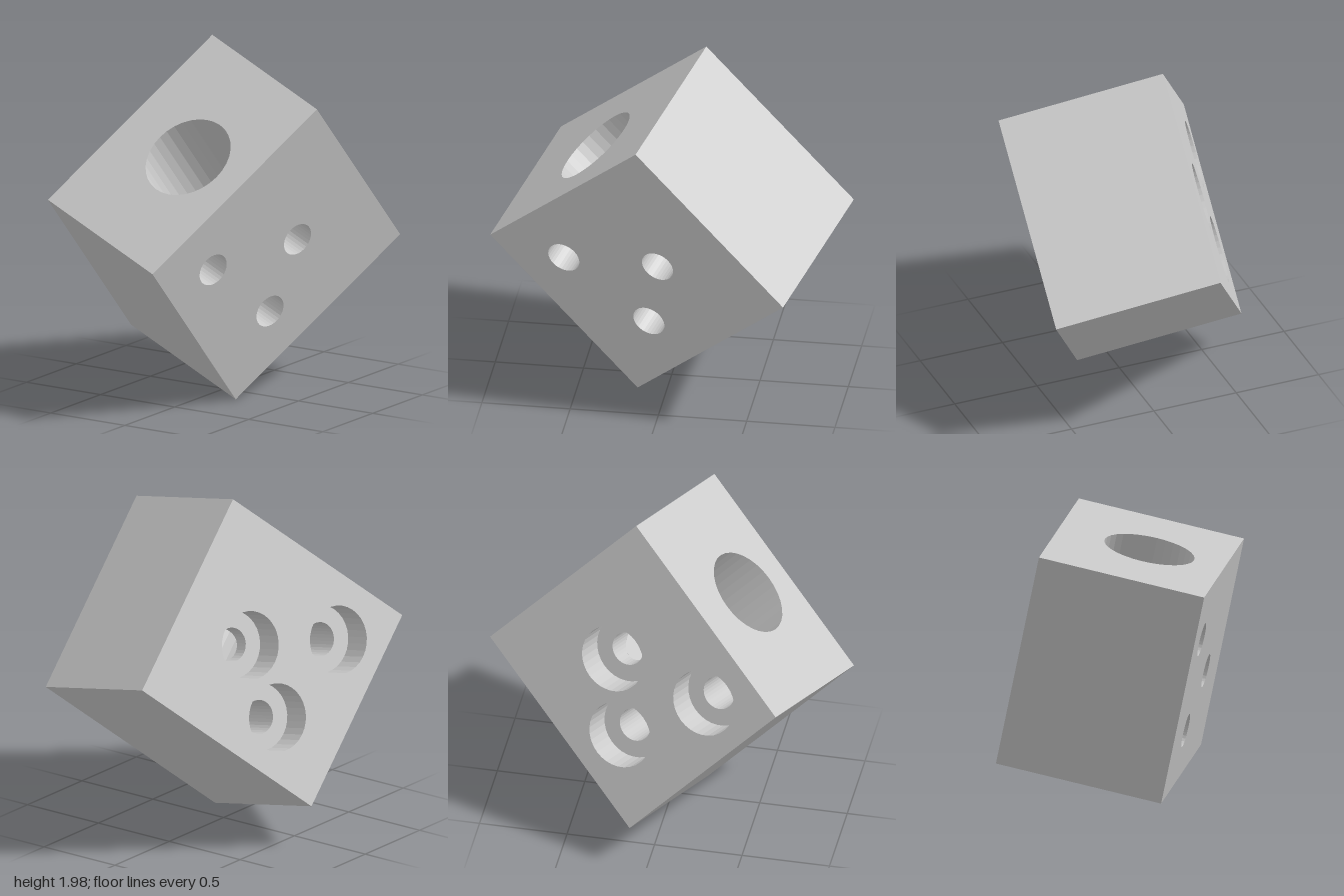
import * as THREE from 'three';

// Block size: A along local x, B along local y, C along local -z
const A = 1.327, B = 1.228, C = 0.958;
const SEG = 32;
const SMALL = 0.096, LARGE = 0.193, SINK = 0.185;          // stepped bolt holes
const HOLES = [[0.308, 0.896], [0.814, 0.577], [0.45, 0.317]];
const BORE = { x: 0.67, z: -0.434, r: 0.258, depth: 0.77 }; // blind bore in the top
const CROSS = HOLES[1];                                     // hole that meets the bore

const material = new THREE.MeshStandardMaterial({
  color: 0xcccccc, flatShading: true, side: THREE.DoubleSide,
});

function part(name, geometry) {
  const mesh = new THREE.Mesh(geometry, material);
  mesh.name = name;
  return mesh;
}

// Rectangle from the origin with round holes [x, y, r]
function panel(w, h, holes = []) {
  const shape = new THREE.Shape([[0, 0], [w, 0], [w, h], [0, h]].map(p => new THREE.Vector2(...p)));
  for (const [x, y, r] of holes) {
    const pts = [];
    for (let i = 0; i < SEG; i++) {
      const t = -i / SEG * Math.PI * 2;
      pts.push(new THREE.Vector2(x + r * Math.cos(t), y + r * Math.sin(t)));
    }
    shape.holes.push(new THREE.Path(pts));
  }
  return new THREE.ShapeGeometry(shape);
}

// Round wall along z; each end depth may depend on the local x
function holeWall(x, y, r, near, far) {
  const g = new THREE.CylinderGeometry(r, r, 1, SEG, 1, true).rotateX(Math.PI / 2);
  const p = g.attributes.position;
  for (let i = 0; i < p.count; i++) {
    const px = p.getX(i) + x;
    p.setXYZ(i, px, p.getY(i) + y, p.getZ(i) > 0 ? near(px) : far(px));
  }
  return g;
}

// Bore wall in two bands, parted where the cross hole passes through
function boreWall() {
  const columns = 256, step = Math.PI * 2 / SEG, pos = [], index = [];
  for (let i = 0; i <= columns; i++) {
    const t = i / columns * Math.PI * 2;
    const r = BORE.r * Math.cos(step / 2) / Math.cos((t % step) - step / 2);
    const x = BORE.x + r * Math.cos(t), z = BORE.z + r * Math.sin(t);
    const gap = Math.sqrt(Math.max(0, SMALL ** 2 - (x - CROSS[0]) ** 2));
    const low = B - BORE.depth;
    for (const y of [B, CROSS[1] + gap, Math.max(low, CROSS[1] - gap), low]) pos.push(x, y, z);
    if (i === columns) continue;
    for (const k of [0, 2]) {
      const a = i * 4 + k, b = a + 4;
      index.push(a, a + 1, b, b, a + 1, b + 1);
    }
  }
  const g = new THREE.BufferGeometry();
  g.setAttribute('position', new THREE.Float32BufferAttribute(pos, 3));
  g.setIndex(index);
  g.computeVertexNormals();
  return g;
}

export function createModel() {
  const block = new THREE.Group();
  block.name = 'block';

  // Outer faces
  const small = HOLES.map(([x, y]) => [x, y, SMALL]);
  const large = HOLES.map(([x, y]) => [x, y, LARGE]);
  block.add(
    part('drilledFace', panel(A, B, small)),
    part('counterboredFace', panel(A, B, large).translate(0, 0, -C)),
    part('boreFace', panel(A, C, [[BORE.x, -BORE.z, BORE.r]]).rotateX(-Math.PI / 2).translate(0, B, 0)),
    part('baseFace', panel(A, C).rotateX(-Math.PI / 2)),
    part('lowerEndFace', panel(C, B).rotateY(Math.PI / 2)),
    part('upperEndFace', panel(C, B).rotateY(Math.PI / 2).translate(A, 0, 0)),
  );

  // Large blind bore
  block.add(
    part('boreWall', boreWall()),
    part('boreFloor', new THREE.CircleGeometry(BORE.r, SEG).rotateX(-Math.PI / 2)
      .translate(BORE.x, B - BORE.depth, BORE.z)),
  );

  // Stepped bolt holes
  const ledge = SINK - C;
  const chord = x => Math.sqrt(Math.max(0, BORE.r ** 2 - (x - BORE.x) ** 2));
  for (const hole of HOLES) {
    const [x, y] = hole;
    if (hole === CROSS) {
      block.add(
        part('boltHoleNear', holeWall(x, y, SMALL, () => 0, px => BORE.z + chord(px))),
        part('boltHoleFar', holeWall(x, y, SMALL, px => BORE.z - chord(px), () => ledge)),
      );
    } else {
      block.add(part('boltHole', holeWall(x, y, SMALL, () => 0, () => ledge)));
    }
    block.add(
      part('counterboreWall', holeWall(x, y, LARGE, () => ledge, () => -C)),
      part('counterboreLedge', new THREE.RingGeometry(SMALL, LARGE, SEG).rotateY(Math.PI).translate(x, y, ledge)),
    );
  }

  // Tilt the block so that it stands on one corner
  const ey = new THREE.Vector3(0, 0.9, 0.835).normalize();
  const ez = new THREE.Vector3(0.505, 0.835, -0.9).cross(ey).normalize();
  const ex = new THREE.Vector3().crossVectors(ey, ez);
  block.quaternion.setFromRotationMatrix(new THREE.Matrix4().makeBasis(ex, ey, ez));
  block.position.set(0.187, 0, 0.165);

  const model = new THREE.Group();
  model.name = 'drilledBlock';
  model.add(block);
  return model;
}
